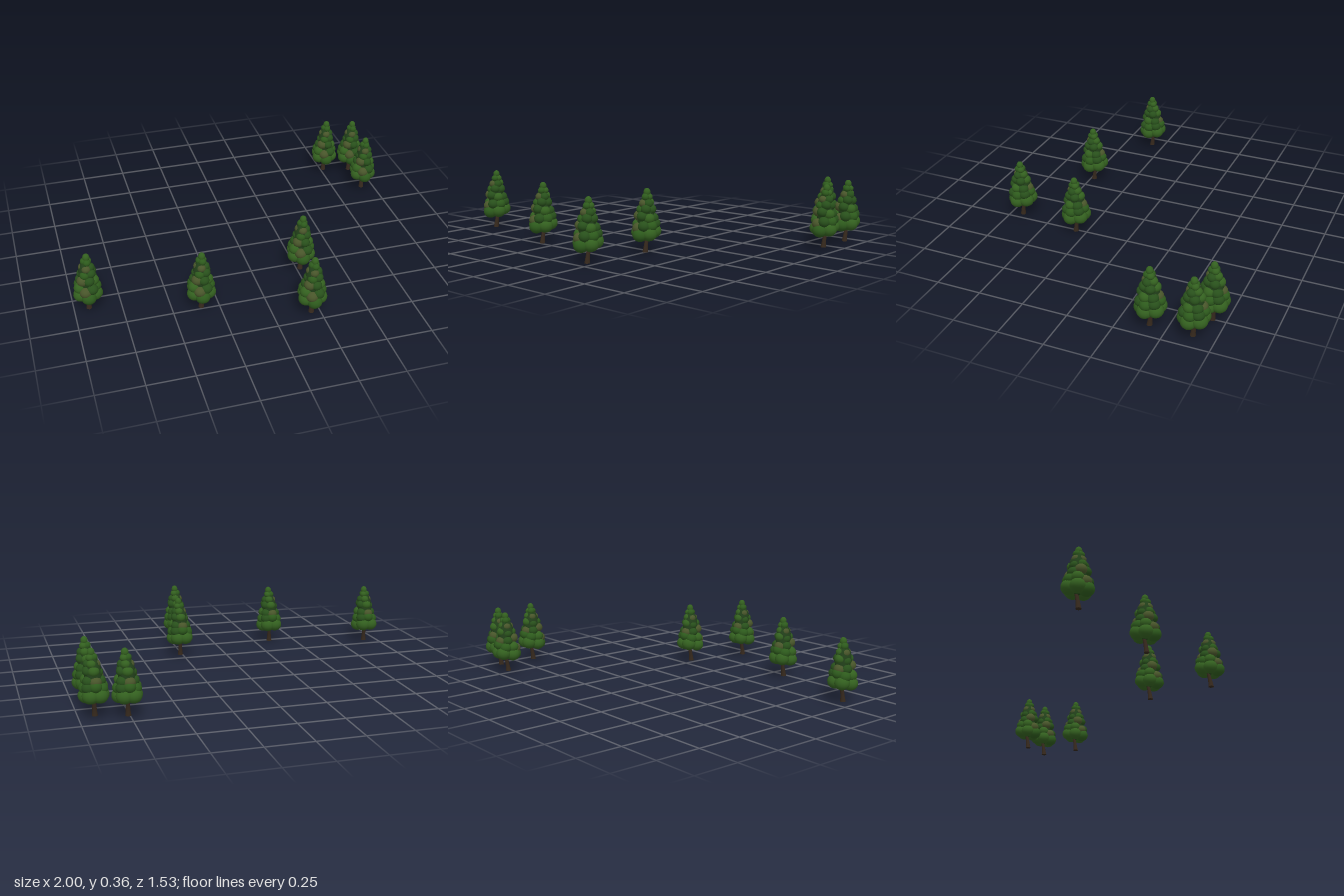
import * as THREE from 'three';

const paint = (color) => new THREE.MeshStandardMaterial({ color });
const bark = paint(0x35281c);
const greens = [0x2d5a1c, 0x28501b, 0x48552a, 0x33601f].map(paint);
const coreGreen = paint(0x22401a);

// Canopy tiers from bottom to top: height, ring radius, puff radius, puff count, first angle
const TIERS = [
  [0.106, 0.045, 0.041, 5, 90],
  [0.148, 0.047, 0.033, 7, 60],
  [0.19, 0.038, 0.03, 6, 20],
  [0.228, 0.029, 0.028, 5, 50],
  [0.264, 0.02, 0.025, 4, 15],
  [0.296, 0.012, 0.021, 3, 80],
  [0.323, 0, 0.019, 1, 0],
];

// Small seeded generator so every tree is the same
function seeded(seed) {
  return () => {
    seed = (seed * 16807) % 2147483647;
    return seed / 2147483647;
  };
}

// Tapered trunk, flared at the foot and leaning back as it rises
function makeTrunk() {
  const height = 0.12;
  const geo = new THREE.CylinderGeometry(0.009, 0.011, height, 10, 8);
  geo.translate(0, height / 2, 0);
  const p = geo.attributes.position;
  for (let i = 0; i < p.count; i++) {
    const t = p.getY(i) / height;
    const flare = 1 + 0.4 * (1 - t) ** 4;
    p.setX(i, p.getX(i) * flare + 0.004 * t);
    p.setZ(i, p.getZ(i) * flare - 0.02 * t ** 1.4);
  }
  geo.computeVertexNormals();
  const trunk = new THREE.Mesh(geo, bark);
  trunk.name = 'trunk';
  return trunk;
}

// Canopy of overlapping rounded puffs around a solid core
function makeCanopy() {
  const canopy = new THREE.Group();
  canopy.name = 'canopy';
  const ball = new THREE.SphereGeometry(1, 16, 12);
  const rand = seeded(41);

  const core = new THREE.Mesh(ball, coreGreen);
  core.name = 'canopyCore';
  core.scale.set(0.045, 0.115, 0.05);
  core.position.set(0.002, 0.19, -0.004);
  canopy.add(core);

  TIERS.forEach(([y, ring, r, count, start], tier) => {
    for (let i = 0; i < count; i++) {
      const a = THREE.MathUtils.degToRad(start - (i * 360) / count);
      const jitter = tier > 0 && count > 1 ? (rand() - 0.5) * 0.018 : 0;
      const puff = new THREE.Mesh(ball, greens[Math.floor(rand() * greens.length)]);
      puff.name = 'leafPuff';
      puff.position.set(
        ring * 0.86 * Math.cos(a) + 0.009 * (tier / 6),
        // the back of each low tier sits a little higher than the front
        y + jitter - (tier < 2 ? 0.008 * Math.sin(a) : 0),
        ring * Math.sin(a) - 0.003
      );
      const size = r * (0.96 + rand() * 0.08);
      puff.scale.set(size, size * (count === 1 ? 1.2 : 0.92), size);
      puff.rotation.y = -a;
      canopy.add(puff);
    }
  });
  return canopy;
}

export function createModel() {
  const model = new THREE.Group();
  model.name = 'treeGrove';

  const tree = new THREE.Group();
  tree.add(makeTrunk(), makeCanopy());

  // Foot of each tree: x, y, z
  const spots = [
    [-0.92, 0, 0.328],
    [-0.345, 0, 0.481],
    [0.203, 0, 0.681],
    [0.267, 0.007, 0.307],
    [0.763, 0.01, -0.683],
    [0.92, 0.01, -0.638],
    [0.92, 0.01, -0.413],
  ];
  spots.forEach((spot, i) => {
    const copy = tree.clone();
    copy.name = `tree${i + 1}`;
    copy.position.set(...spot);
    model.add(copy);
  });
  return model;
}
